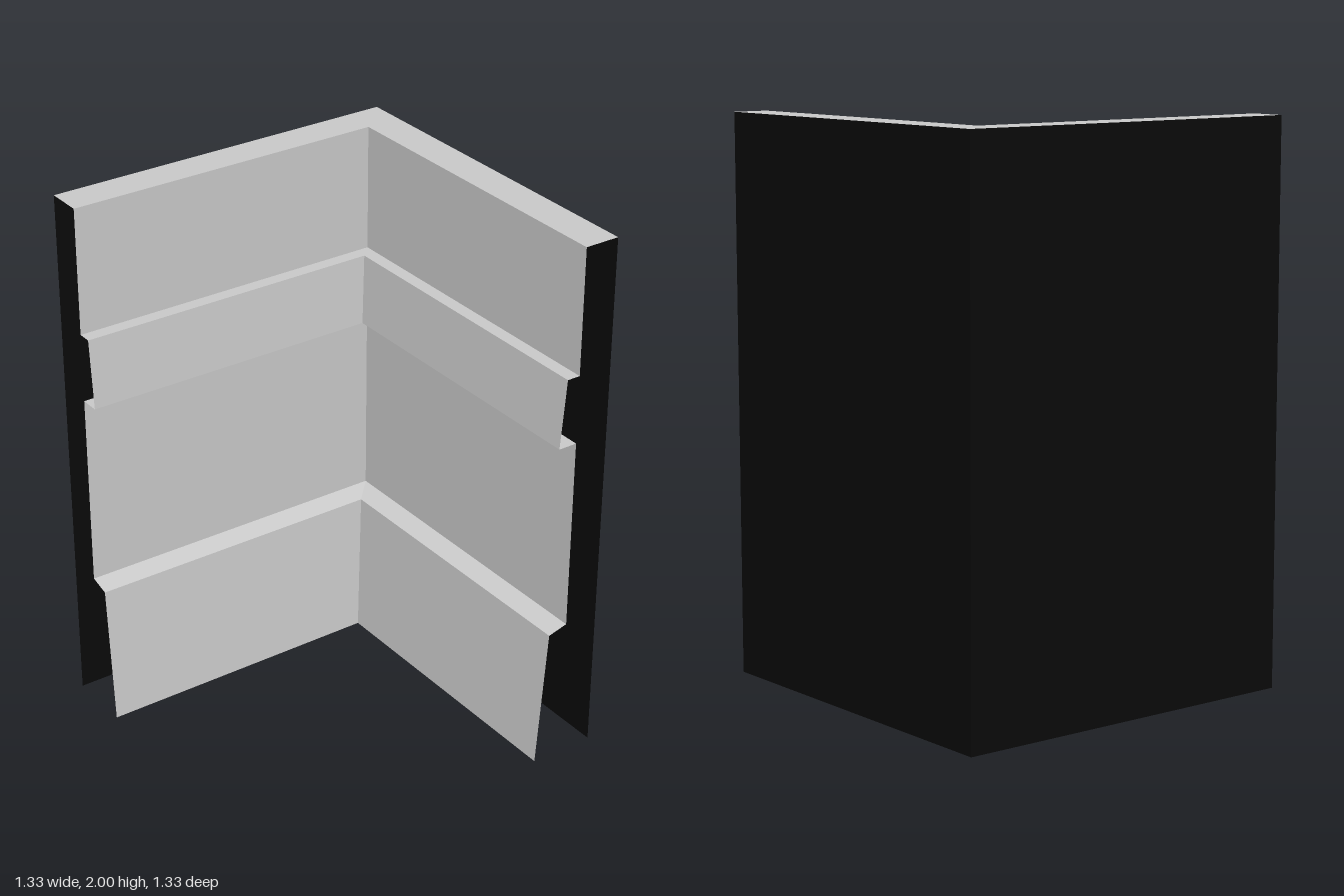
import * as THREE from 'three';

const END = 0.667; // free ends of both walls

// Sweep a profile of [offset, y] points round the mitred corner, flat faced.
function sweep(name, profile, material) {
  const path = p => [[p, END], [p, p], [END, p]];
  const pos = [];
  for (let i = 0; i < profile.length - 1; i++) {
    const [pa, ya] = profile[i], [pb, yb] = profile[i + 1];
    const A = path(pa).map(([x, z]) => [x, ya, z]);
    const B = path(pb).map(([x, z]) => [x, yb, z]);
    for (let j = 0; j < 2; j++) {
      pos.push(...A[j], ...B[j], ...B[j + 1], ...A[j], ...B[j + 1], ...A[j + 1]);
    }
  }
  const geometry = new THREE.BufferGeometry();
  geometry.setAttribute('position', new THREE.Float32BufferAttribute(pos, 3));
  geometry.computeVertexNormals();
  const mesh = new THREE.Mesh(geometry, material);
  mesh.name = name;
  return mesh;
}

export function createModel() {
  const group = new THREE.Group();
  group.name = 'cornerWall';
  const grey = new THREE.MeshStandardMaterial({ color: 0xcccccc, side: THREE.DoubleSide, flatShading: true });
  const black = new THREE.MeshStandardMaterial({ color: 0x0a0a0a, side: THREE.DoubleSide, flatShading: true });
  const back = -END, face = -0.535;

  group.add(
    // Thin dark backing on the outside of the corner; ends and bottom stay open
    sweep('outerBacking', [[back, 0], [back, 2]], black),
    // Top edge and upper wall
    sweep('topCap', [[back, 2], [face, 2]], grey),
    sweep('upperWall', [[face, 2], [face, 1.53]], grey),
    // Sloping rail that stands proud of the wall
    sweep('rail', [[face, 1.53], [-0.485, 1.53], [-0.463, 1.273], [face, 1.273]], grey),
    sweep('lowerWall', [[face, 1.273], [face, 0.545]], grey),
    // Flared skirting with a bevelled top
    sweep('skirting', [[face, 0.545], [-0.46, 0.525], [-0.42, 0]], grey),
  );
  return group;
}
